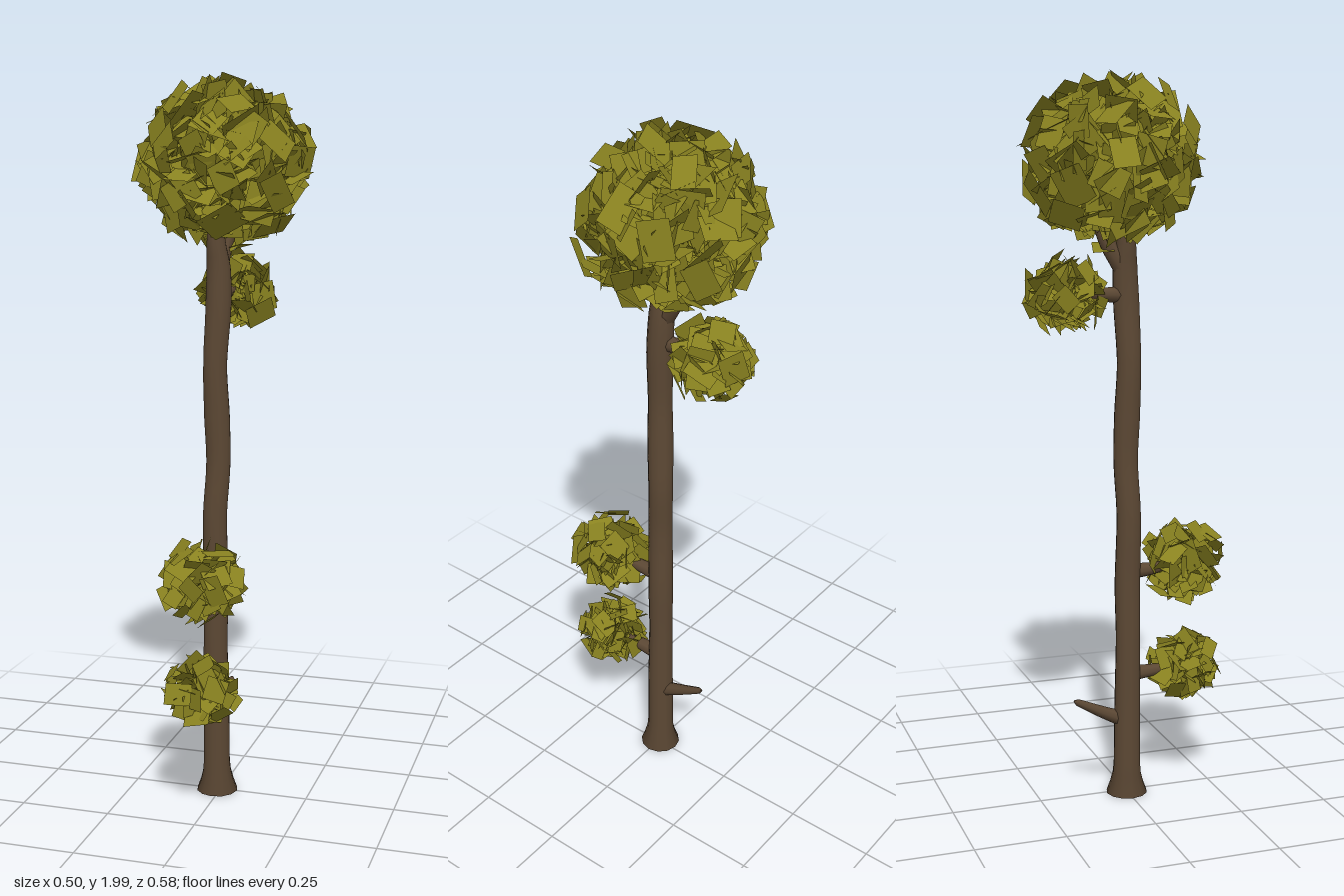
import * as THREE from 'three';
import { mergeGeometries } from 'three/addons/utils/BufferGeometryUtils.js';

const bark = new THREE.MeshStandardMaterial({ color: 0x5c4834 });
bark.name = 'bark brown';
const foliage = new THREE.MeshStandardMaterial({ color: 0x898220, side: THREE.DoubleSide });
foliage.name = 'olive leaf';

// Small seeded generator
let seed = 7;
function rand(a = 0, b = 1) {
  seed = (seed * 1664525 + 1013904223) % 4294967296;
  return a + (b - a) * (seed / 4294967296);
}

// Tapered tube through [x, y, z, radius] points
function limb(name, points, rings, sides) {
  const curve = new THREE.CatmullRomCurve3(points.map((p) => new THREE.Vector3(p[0], p[1], p[2])));
  const geo = new THREE.TubeGeometry(curve, rings, 1, sides, false);
  const pos = geo.attributes.position;
  const v = new THREE.Vector3();
  for (let i = 0; i <= rings; i++) {
    const centre = curve.getPointAt(i / rings);
    const t = curve.getUtoTmapping(i / rings) * (points.length - 1);
    const k = Math.min(Math.floor(t), points.length - 2);
    const r = THREE.MathUtils.lerp(points[k][3], points[k + 1][3], t - k);
    for (let j = 0; j <= sides; j++) {
      const n = i * (sides + 1) + j;
      v.fromBufferAttribute(pos, n).sub(centre).multiplyScalar(r).add(centre);
      pos.setXYZ(n, v.x, v.y, v.z);
    }
  }
  const mesh = new THREE.Mesh(geo, bark);
  mesh.name = name;
  return mesh;
}

// Ball of randomly tilted flat leaf cards; height is its half height
function leafBall(name, centre, radius, height, count, size) {
  const cards = [];
  const corner = new THREE.Vector3();
  for (let i = 0; i < count; i++) {
    const y = 1 - (2 * i + 1) / count;
    const a = i * 2.39996;
    const s = Math.sqrt(1 - y * y);
    const dir = new THREE.Vector3(s * Math.cos(a), y, s * Math.sin(a));
    const normal = new THREE.Vector3(rand(-1, 1), rand(-1, 1), rand(-1, 1))
      .addScaledVector(dir, 0.35).normalize();
    const card = new THREE.PlaneGeometry(size * rand(0.8, 1.2), size * rand(0.6, 0.95));
    card.rotateZ(rand(0, 6.28));
    card.applyQuaternion(new THREE.Quaternion().setFromUnitVectors(new THREE.Vector3(0, 0, 1), normal));
    // Slide each card along its spoke until its outermost corner meets the ball
    let reach = 0;
    for (let c = 0; c < 4; c++) {
      reach = Math.max(reach, corner.fromBufferAttribute(card.attributes.position, c).dot(dir));
    }
    const limit = Math.hypot(radius * s, height * y);
    const d = limit * (i % 5 < 2 ? rand(0.45, 0.85) : rand(0.84, 1.07)) - reach;
    card.translate(dir.x * d, dir.y * d, dir.z * d);
    cards.push(card);
  }
  const mesh = new THREE.Mesh(mergeGeometries(cards), foliage);
  mesh.position.set(...centre);
  mesh.name = name;
  return mesh;
}

export function createModel() {
  const tree = new THREE.Group();
  tree.name = 'tree';

  // Trunk with flared foot and gentle wobble
  tree.add(limb('trunk', [
    [-0.01, 0, 0, 0.058], [-0.01, 0.03, 0, 0.047], [-0.011, 0.07, 0, 0.038],
    [-0.012, 0.25, 0.001, 0.037], [-0.014, 0.45, 0.002, 0.034], [-0.012, 0.6, 0.001, 0.036],
    [-0.015, 0.8, 0.004, 0.034], [-0.007, 0.95, -0.002, 0.034], [-0.01, 1.08, 0.001, 0.036],
    [-0.014, 1.22, 0.005, 0.033], [-0.006, 1.38, 0, 0.036], [-0.007, 1.48, -0.004, 0.034],
    [-0.014, 1.56, -0.003, 0.025], [-0.01, 1.7, -0.02, 0.018], [0.005, 1.86, -0.04, 0.004],
  ], 64, 12));

  // Underside of the foot, shaded softly into the trunk
  const footShape = new THREE.CircleGeometry(0.058, 12);
  footShape.setAttribute('normal', footShape.attributes.position.clone());
  footShape.attributes.normal.setXYZ(0, 0, 0, 0.01);
  const foot = new THREE.Mesh(footShape, bark);
  foot.rotation.x = Math.PI / 2;
  foot.position.set(-0.01, 0.001, 0);
  foot.name = 'trunkBase';
  tree.add(foot);

  // Bare stub at the back and the three side branches
  tree.add(limb('bareStub', [
    [-0.01, 0.21, 0, 0.023], [-0.01, 0.246, -0.08, 0.016],
    [-0.01, 0.282, -0.152, 0.008], [-0.01, 0.284, -0.156, 0.001],
  ], 14, 8));
  const sideBranches = [
    ['lowBranch', 0.345, 0.175, 0.355], ['middleBranch', 0.64, 0.17, 0.665], ['highBranch', 1.405, -0.18, 1.43],
  ];
  for (const [name, y, z, tipY] of sideBranches) {
    tree.add(limb(name, [[-0.01, y, 0, 0.024], [-0.008, y + 0.004, z * 0.5, 0.017], [0, tipY, z, 0.004]], 10, 8));
  }

  // Forks spreading inside the crown
  const forkTips = [[0.09, 1.86, -0.12], [0.1, 1.83, 0.03], [-0.1, 1.83, 0.07], [-0.09, 1.84, -0.13]];
  forkTips.forEach(([x, y, z], i) => {
    const start = i === 0 ? 1.46 : 1.58;
    const mid = i === 0 ? [0, 1.56, -0.06, 0.022] : [x * 0.45, 1.7, z * 0.5 - 0.01, 0.011];
    tree.add(limb('crownFork', [[-0.01, start, -0.004, 0.026], mid, [x, y, z, 0.003]], 12, 7));
  });

  // Foliage
  tree.add(leafBall('crownLeaves', [0, 1.757, -0.04], 0.236, 0.226, 520, 0.094));
  tree.add(leafBall('highLeaves', [-0.002, 1.411, -0.174], 0.115, 0.112, 110, 0.072));
  tree.add(leafBall('middleLeaves', [0, 0.656, 0.168], 0.121, 0.12, 120, 0.07));
  tree.add(leafBall('lowLeaves', [-0.002, 0.355, 0.175], 0.108, 0.105, 110, 0.066));
  return tree;
}
